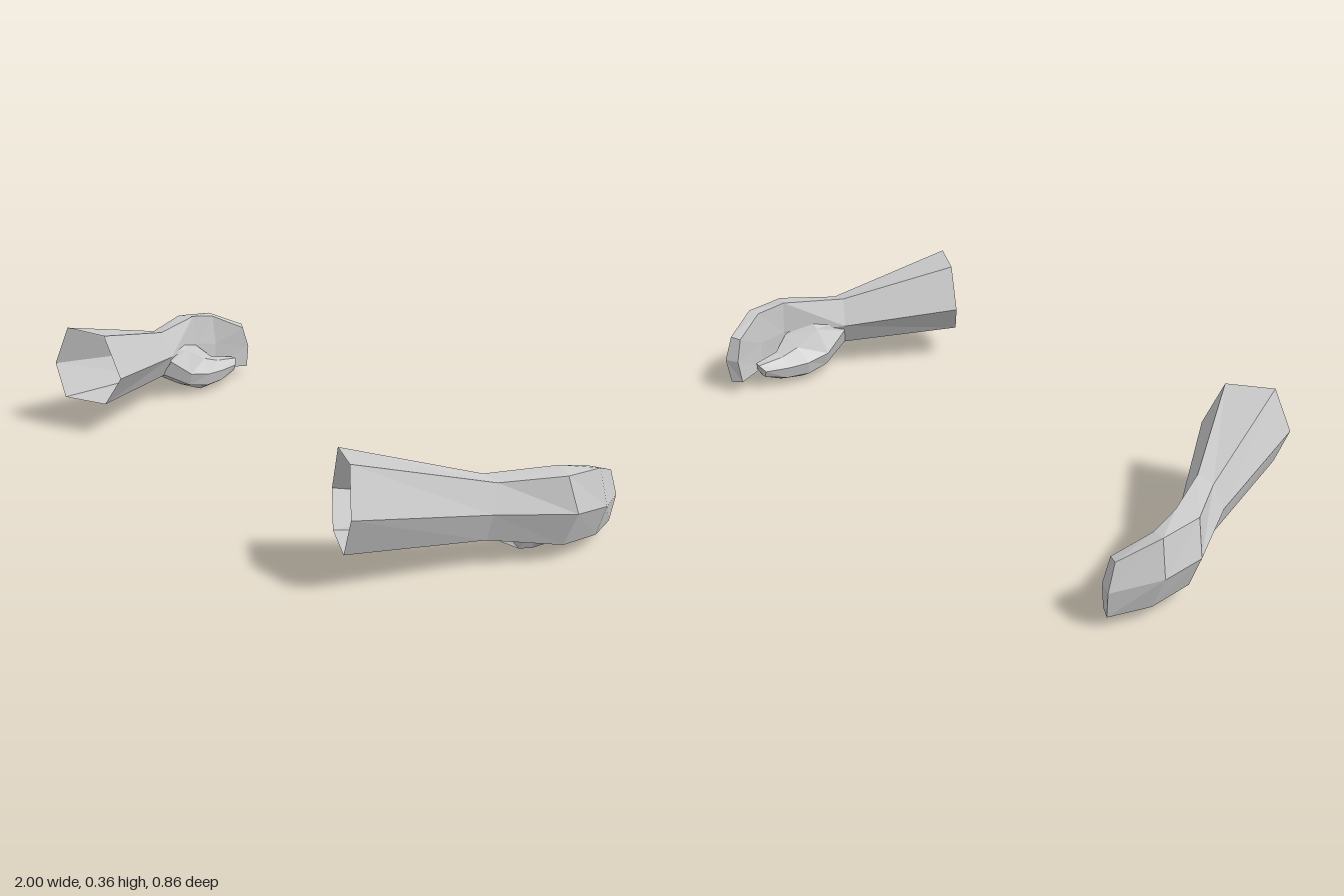
import * as THREE from 'three';

const material = new THREE.MeshStandardMaterial({
  color: 0xcccccc, flatShading: true, side: THREE.DoubleSide,
});

// Skins a list of six-point rings; side = -1 mirrors across x and flips the winding.
function loft(name, rings, side, capEnd) {
  const positions = [];
  const triangle = (a, b, c) => {
    for (const p of side > 0 ? [a, b, c] : [a, c, b]) positions.push(p[0] * side, p[1], p[2]);
  };
  for (let i = 0; i < rings.length - 1; i++) {
    const near = rings[i], far = rings[i + 1], n = near.length;
    for (let j = 0; j < n; j++) {
      const k = (j + 1) % n;
      triangle(near[j], far[j], near[k]);
      triangle(near[k], far[j], far[k]);
    }
  }
  if (capEnd) {
    const last = rings[rings.length - 1];
    for (let j = 1; j < last.length - 1; j++) triangle(last[0], last[j + 1], last[j]);
  }
  const geometry = new THREE.BufferGeometry();
  geometry.setAttribute('position', new THREE.Float32BufferAttribute(positions, 3));
  geometry.computeVertexNormals();
  const mesh = new THREE.Mesh(geometry, material);
  mesh.name = name;
  return mesh;
}

// Ring order: outer, top outer, top inner, inner, bottom inner, bottom outer
const elbow = [
  [0.80, 0.23, 0.43], [0.755, 0.36, 0.40], [0.625, 0.35, 0.335],
  [0.57, 0.21, 0.31], [0.62, 0.115, 0.345], [0.76, 0.118, 0.42],
];
const wrist = [
  [0.895, 0.173, 0.03], [0.875, 0.25, 0.0], [0.82, 0.258, 0.0],
  [0.788, 0.17, -0.02], [0.82, 0.095, 0.0], [0.87, 0.09, 0.025],
];
const knuckles = [
  [1.0, 0.157, -0.18], [0.97, 0.26, -0.165], [0.91, 0.266, -0.19],
  [0.905, 0.16, -0.2], [0.905, 0.06, -0.19], [0.96, 0.054, -0.175],
];
const fingerBend = [
  [0.99, 0.143, -0.305], [0.965, 0.25, -0.295], [0.925, 0.247, -0.285],
  [0.915, 0.14, -0.29], [0.915, 0.05, -0.285], [0.955, 0.045, -0.31],
];
const fingertips = [
  [0.915, 0.12, -0.432], [0.91, 0.2, -0.406], [0.878, 0.195, -0.39],
  [0.872, 0.12, -0.41], [0.87, 0.042, -0.4], [0.905, 0.038, -0.422],
];

// Thumb rings, from the heel of the palm to the tip
const thumb = [
  [[0.87, 0.13, -0.01], [0.86, 0.19, -0.02], [0.81, 0.19, -0.02],
    [0.795, 0.15, -0.02], [0.82, 0.1, 0.0], [0.865, 0.092, 0.01]],
  [[0.92, 0.11, -0.11], [0.89, 0.21, -0.12], [0.83, 0.17, -0.11],
    [0.785, 0.09, -0.10], [0.80, 0.045, -0.10], [0.87, 0.03, -0.10]],
  [[0.93, 0.08, -0.19], [0.90, 0.15, -0.20], [0.84, 0.12, -0.19],
    [0.79, 0.075, -0.18], [0.80, 0.03, -0.175], [0.85, 0.003, -0.175]],
  [[0.90, 0.06, -0.25], [0.885, 0.105, -0.25], [0.845, 0.10, -0.25],
    [0.81, 0.07, -0.25], [0.82, 0.03, -0.25], [0.865, 0.01, -0.25]],
  [[0.885, 0.065, -0.33], [0.88, 0.09, -0.335], [0.855, 0.09, -0.34],
    [0.835, 0.07, -0.325], [0.845, 0.048, -0.325], [0.875, 0.045, -0.32]],
];

export function createModel() {
  const model = new THREE.Group();
  model.name = 'arms';
  for (const [label, side] of [['left', 1], ['right', -1]]) {
    const arm = new THREE.Group();
    arm.name = label + 'Arm';
    arm.add(
      loft(label + 'Forearm', [elbow, wrist], side, false),
      loft(label + 'Hand', [wrist, knuckles, fingerBend, fingertips], side, true),
      loft(label + 'Thumb', thumb, side, true),
    );
    model.add(arm);
  }
  return model;
}
